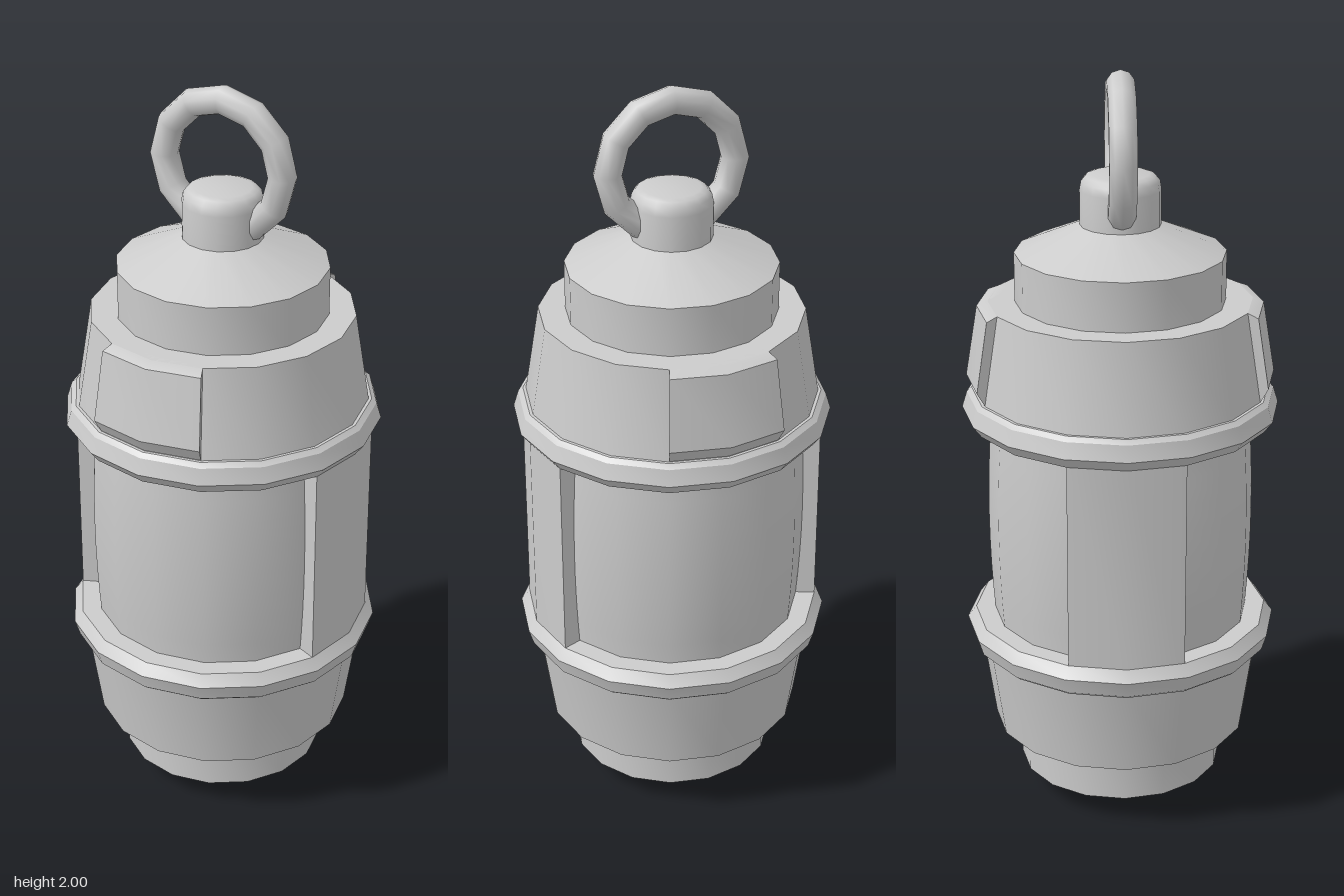
import * as THREE from 'three';
import { mergeGeometries, toCreasedNormals } from 'three/addons/utils/BufferGeometryUtils.js';

const SIDES = 16;
const STEP = (Math.PI * 2) / SIDES;
const material = new THREE.MeshStandardMaterial({ color: 0xcccccc });

function part(name, geometry, crease = 0.45) {
  const mesh = new THREE.Mesh(toCreasedNormals(geometry, crease), material);
  mesh.name = name;
  return mesh;
}

const toPoints = (profile) => profile.map(([r, y]) => new THREE.Vector2(r, y));

// Full turned part from an (r, y) profile listed bottom to top
const turned = (name, profile, crease) =>
  part(name, new THREE.LatheGeometry(toPoints(profile), SIDES), crease);

// Solid two-facet plate wrapped around the body, centred on an angle from +z
function wrappedPlate(name, profile, angle) {
  const points = toPoints(profile);
  const shell = new THREE.LatheGeometry([...points, points[0]], 2, angle - STEP, STEP * 2);
  const ends = [-1, 1].map((side) => {
    const cap = new THREE.ShapeGeometry(new THREE.Shape(points));
    cap.rotateY(angle + side * STEP - Math.PI / 2);
    if (side > 0) cap.index.array.reverse();
    return cap;
  });
  return part(name, mergeGeometries([shell, ...ends]));
}

export function createModel() {
  const model = new THREE.Group();
  model.name = 'canister';

  // Base: flat foot, shallow cone, narrow collar and flared lower shell
  const foot = new THREE.CircleGeometry(0.105, SIDES);
  foot.rotateX(Math.PI / 2);
  model.add(part('foot', foot));
  model.add(turned('baseCollar', [[0.105, 0], [0.275, 0.07], [0.275, 0.21]], 0.4));
  model.add(turned('lowerShell', [[0.27, 0.2], [0.345, 0.2], [0.382, 0.455]]));

  // Slightly bulging core
  const core = [];
  for (let i = 0; i <= 8; i++) {
    const t = i / 4 - 1;
    core.push([0.354 - 0.012 * t * t, 0.8 + 0.29 * t]);
  }
  model.add(turned('core', core));

  // Raised panels on the left and right of the core
  const sidePanel = [[0.33, 0.5], [0.395, 0.5], [0.395, 1.1], [0.33, 1.1]];
  model.add(wrappedPlate('leftPanel', sidePanel, Math.PI / 2));
  model.add(wrappedPlate('rightPanel', sidePanel, -Math.PI / 2));

  // Bevelled bands, mirrored about the middle of the core
  const band = [[0.34, 1.08], [0.395, 1.08], [0.418, 1.11], [0.405, 1.152], [0.392, 1.163], [0.37, 1.163]];
  model.add(turned('upperBand', band, 0.4));
  model.add(turned('lowerBand', band.map(([r, y]) => [r, 1.605 - y]).reverse(), 0.4));

  // Tapered upper shell with front and back plates
  model.add(turned('upperShell', [[0.386, 1.15], [0.345, 1.4], [0.27, 1.4]]));
  const plate = [[0.36, 1.165], [0.385, 1.165], [0.405, 1.2], [0.374, 1.388], [0.345, 1.4], [0.32, 1.4]];
  model.add(wrappedPlate('frontPlate', plate, 0));
  model.add(wrappedPlate('backPlate', plate, Math.PI));

  // Cap with a sloping lid
  model.add(turned('cap', [[0.275, 1.39], [0.275, 1.53], [0.1, 1.605]], 0.4));

  // Post with a rounded top
  model.add(turned('post', [
    [0.105, 1.59], [0.105, 1.695], [0.101, 1.717], [0.09, 1.73], [0.075, 1.735], [0, 1.735],
  ], 0.7));

  // Carrying ring through the post
  const ring = new THREE.TorusGeometry(0.17, 0.037, 10, 12);
  ring.translate(0, 1.793, 0);
  model.add(part('ring', ring, 0.9));

  return model;
}
